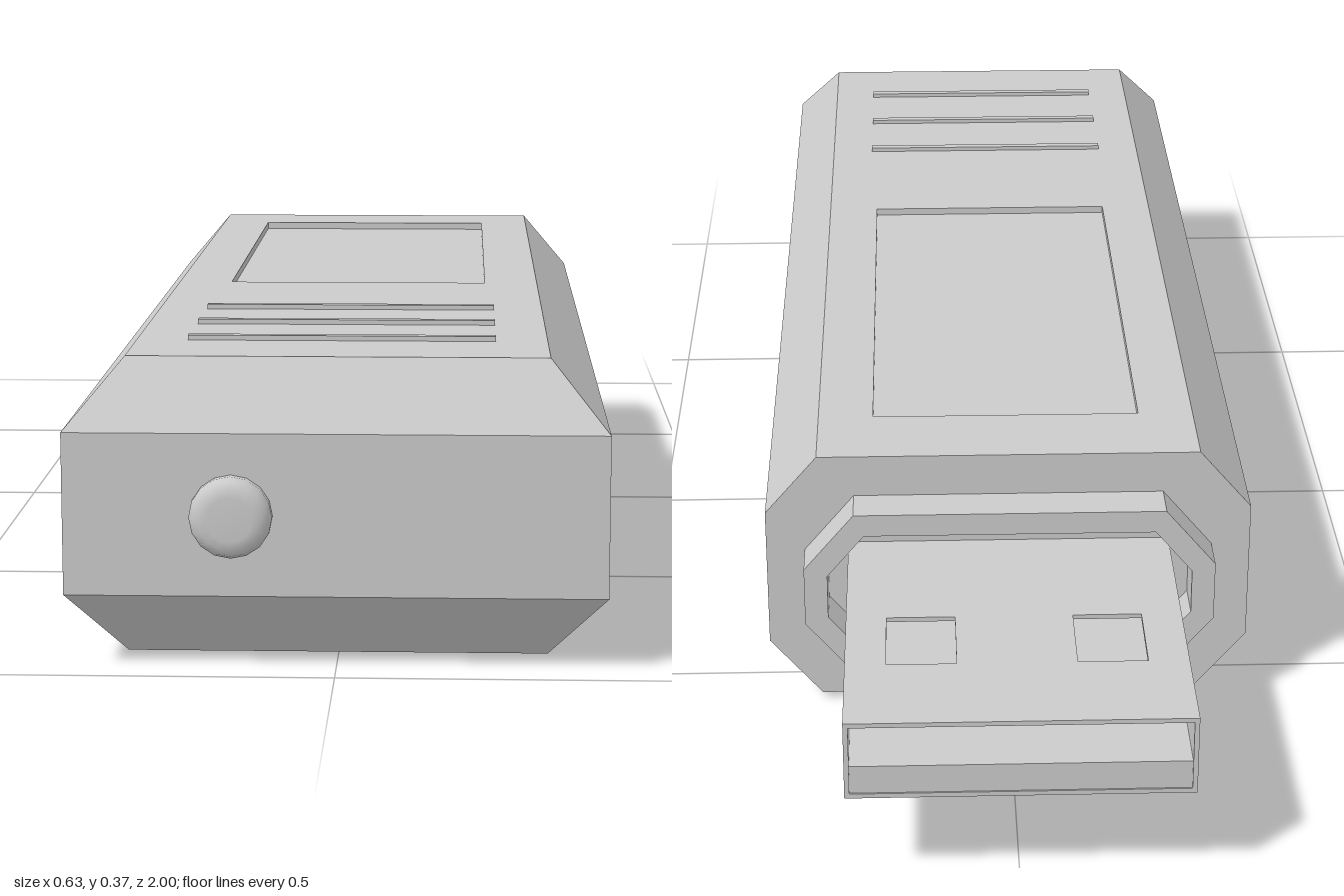
import * as THREE from 'three';
import { ConvexGeometry } from 'three/addons/geometries/ConvexGeometry.js';

const material = new THREE.MeshStandardMaterial({ color: 0xcccccc, flatShading: true });
const smooth = new THREE.MeshStandardMaterial({ color: 0xcccccc });

export function createModel() {
  const model = new THREE.Group();

  const add = (name, geometry, parent = model, mat = material) => {
    const mesh = new THREE.Mesh(geometry, mat);
    mesh.name = name;
    parent.add(mesh);
    return mesh;
  };
  const box = (name, x0, x1, y0, y1, z0, z1, parent) =>
    add(name, new THREE.BoxGeometry(x1 - x0, y1 - y0, z1 - z0), parent)
      .position.set((x0 + x1) / 2, (y0 + y1) / 2, (z0 + z1) / 2);

  // Rectangle in plan; z is negated because plates are tipped flat afterwards
  const rect = (Type, x0, x1, z0, z1) => new Type([
    [x0, -z1], [x1, -z1], [x1, -z0], [x0, -z0],
  ].map(([x, y]) => new THREE.Vector2(x, y)));
  // Horizontal plate with rectangular openings, from y0 to y1
  const plate = (outer, holes, y0, y1) => {
    const shape = rect(THREE.Shape, ...outer);
    shape.holes = holes.map((h) => rect(THREE.Path, ...h));
    return new THREE.ExtrudeGeometry(shape, { depth: y1 - y0, bevelEnabled: false })
      .rotateX(-Math.PI / 2).translate(0, y0, 0);
  };

  // Body: chamfered bar with sloping front edges
  const back = -0.565, top = 0.36, floor = 0.35;
  const slopeX = 0.068 / 0.08, slopeZ = 0.06 / 0.08;
  const topX = 0.247 + (top - floor) * slopeX;
  const topZ = 0.915 + (top - floor) * slopeZ;
  const points = [];
  for (const [x, y, z] of [
    [0.247, 0.008, 0.915], [0.315, 0.089, 0.975], [0.315, 0.28, 0.975], [topX, floor, topZ],
  ]) {
    for (const s of [-1, 1]) {
      points.push(new THREE.Vector3(s * x, y, z), new THREE.Vector3(s * x, y, back));
    }
  }
  add('body', new ConvexGeometry(points));

  // Top skin with a sunken label window; its lower rim follows the chamfers
  const skin = plate([-0.247, 0.247, back, 0.915], [[-0.175, 0.175, -0.45, 0.275]], floor, top);
  const p = skin.attributes.position;
  for (let i = 0; i < p.count; i++) {
    if (p.getY(i) > floor + 0.005 || Math.abs(p.getX(i)) < 0.2) continue;
    p.setX(i, Math.sign(p.getX(i)) * topX);
    if (p.getZ(i) > 0.5) p.setZ(i, topZ);
  }
  skin.computeVertexNormals();
  add('topSkin', skin);

  // Grip ribs above and below
  for (const z of [0.79, 0.66, 0.53]) {
    box('topGripRib', -0.185, 0.185, 0.355, 0.366, z - 0.006, z + 0.006);
    box('bottomGripRib', -0.185, 0.185, 0, 0.012, z - 0.006, z + 0.006);
  }

  // Indicator lamp on the front
  const lamp = [[0.048, 0], [0.048, 0.011], [0.044, 0.019], [0.036, 0.024], [0.026, 0.026], [0, 0.026]]
    .map(([r, h]) => new THREE.Vector2(r, h));
  add('indicatorLamp', new THREE.LatheGeometry(lamp, 16).rotateX(Math.PI / 2), model, smooth)
    .position.set(-0.12, 0.184, 0.974);

  // Hollow eight-sided collar around the connector
  const octagon = (Type, w, h, cx, cy) => new Type([
    [w, cy], [cx, h], [-cx, h], [-w, cy], [-w, -cy], [-cx, -h], [cx, -h], [w, -cy],
  ].map(([x, y]) => new THREE.Vector2(x, y)));
  const ring = octagon(THREE.Shape, 0.265, 0.118, 0.2, 0.04);
  ring.holes.push(octagon(THREE.Path, 0.235, 0.088, 0.187, 0.03));
  add('collar', new THREE.ExtrudeGeometry(ring, { depth: 0.06, bevelEnabled: false }))
    .position.set(0, 0.186, -0.62);

  // Plug: thin metal shell with latch holes, and a contact tongue in its lower half
  const plug = new THREE.Group();
  plug.name = 'connector';
  model.add(plug);
  const outer = [-0.208, 0.208, -1, -0.56];
  const holes = [[-0.158, -0.073, -0.87, -0.76], [0.073, 0.158, -0.87, -0.76]];
  add('shellTop', plate(outer, holes, 0.23, 0.236), plug);
  add('shellBottom', plate(outer, holes, 0.133, 0.139), plug);
  box('shellLeft', 0.202, 0.208, 0.139, 0.23, -1, -0.56, plug);
  box('shellRight', -0.208, -0.202, 0.139, 0.23, -1, -0.56, plug);
  box('contactTongue', -0.202, 0.202, 0.139, 0.176, -0.998, -0.56, plug);

  return model;
}
